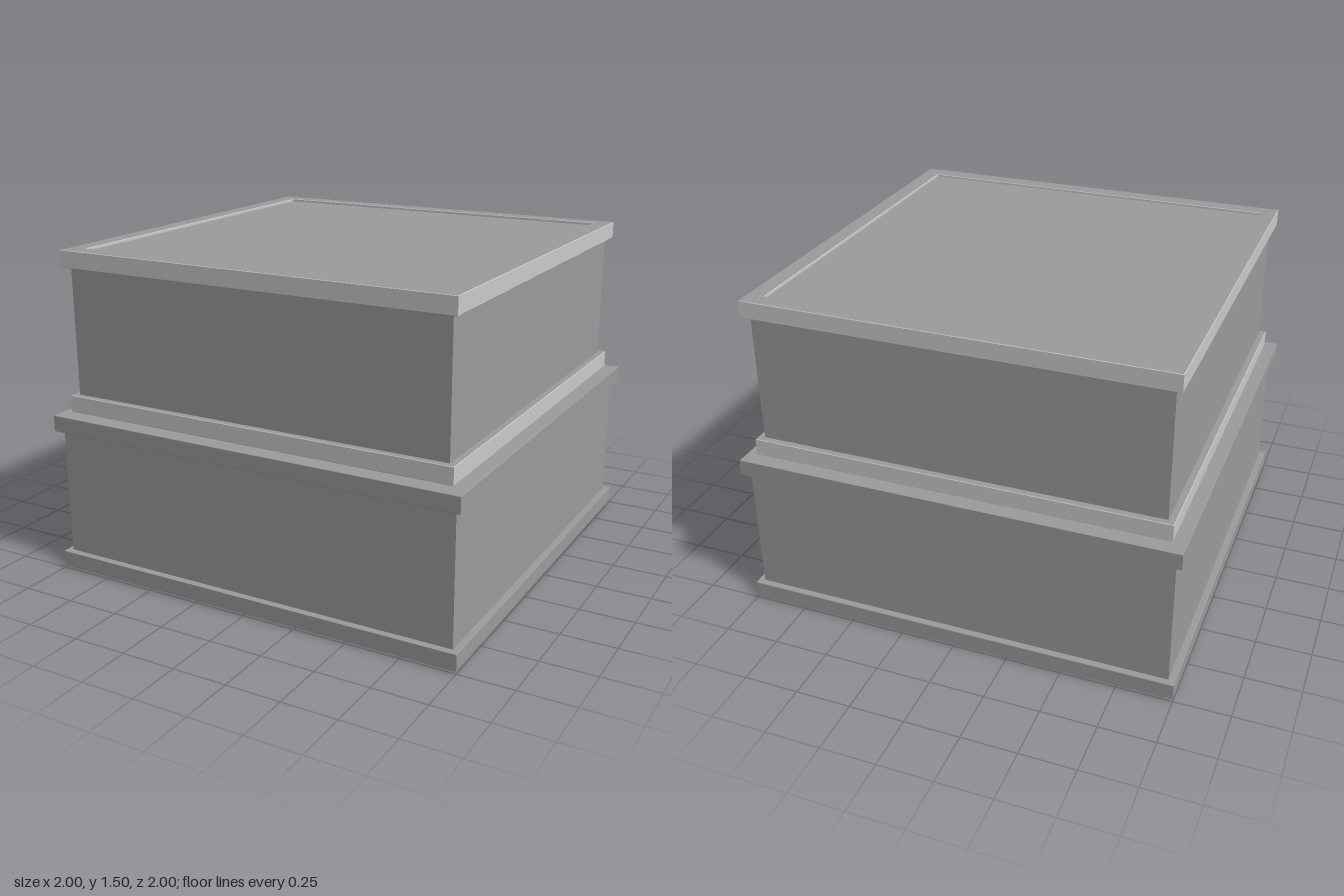
import * as THREE from 'three';

const dark = new THREE.MeshStandardMaterial({ color: 0x9c9c9c, flatShading: true });
const light = new THREE.MeshStandardMaterial({ color: 0xcccccc, flatShading: true });

// Square outline of a given half width
function square(half, Type) {
  const s = new Type();
  s.moveTo(-half, -half);
  s.lineTo(half, -half);
  s.lineTo(half, half);
  s.lineTo(-half, half);
  s.closePath();
  return s;
}

// Square slab from y0 to y1 with chamfered edges; an inner half width makes it a frame
function slab(name, half, y0, y1, bevel, capMaterial, sideMaterial, inner) {
  const shape = square(half - bevel, THREE.Shape);
  if (inner) shape.holes.push(square(inner + bevel, THREE.Path));
  const geometry = new THREE.ExtrudeGeometry(shape, {
    depth: y1 - y0 - 2 * bevel,
    bevelEnabled: true,
    bevelThickness: bevel,
    bevelSize: bevel,
    bevelSegments: 1,
  });
  geometry.rotateX(-Math.PI / 2);
  geometry.translate(0, y0 + bevel, 0);
  const mesh = new THREE.Mesh(geometry, [capMaterial, sideMaterial]);
  mesh.name = name;
  return mesh;
}

// One tier: a box body on a light floor, wrapped by a base trim and a rim standing just above its lid
function tier(name, y, bodyHalf, trimHalf, innerHalf, trimHeight, trimSide) {
  const group = new THREE.Group();
  group.name = name;
  group.add(
    slab('floor', bodyHalf - 0.005, y, y + 0.012, 0.002, light, dark),
    slab('body', bodyHalf, y + 0.003, y + 0.738, 0.005, dark, dark),
    slab('baseTrim', trimHalf, y + 0.01, y + 0.01 + trimHeight, 0.002, dark, trimSide, innerHalf),
    slab('topRim', trimHalf, y + 0.75 - trimHeight, y + 0.75, 0.002, dark, trimSide, innerHalf),
  );
  return group;
}

export function createModel() {
  const model = new THREE.Group();
  model.name = 'stackedBoxes';
  model.add(
    tier('lowerBox', 0, 0.97, 1, 0.92, 0.075, dark),
    tier('upperBox', 0.75, 0.913, 0.943, 0.865, 0.078, light),
  );
  return model;
}
